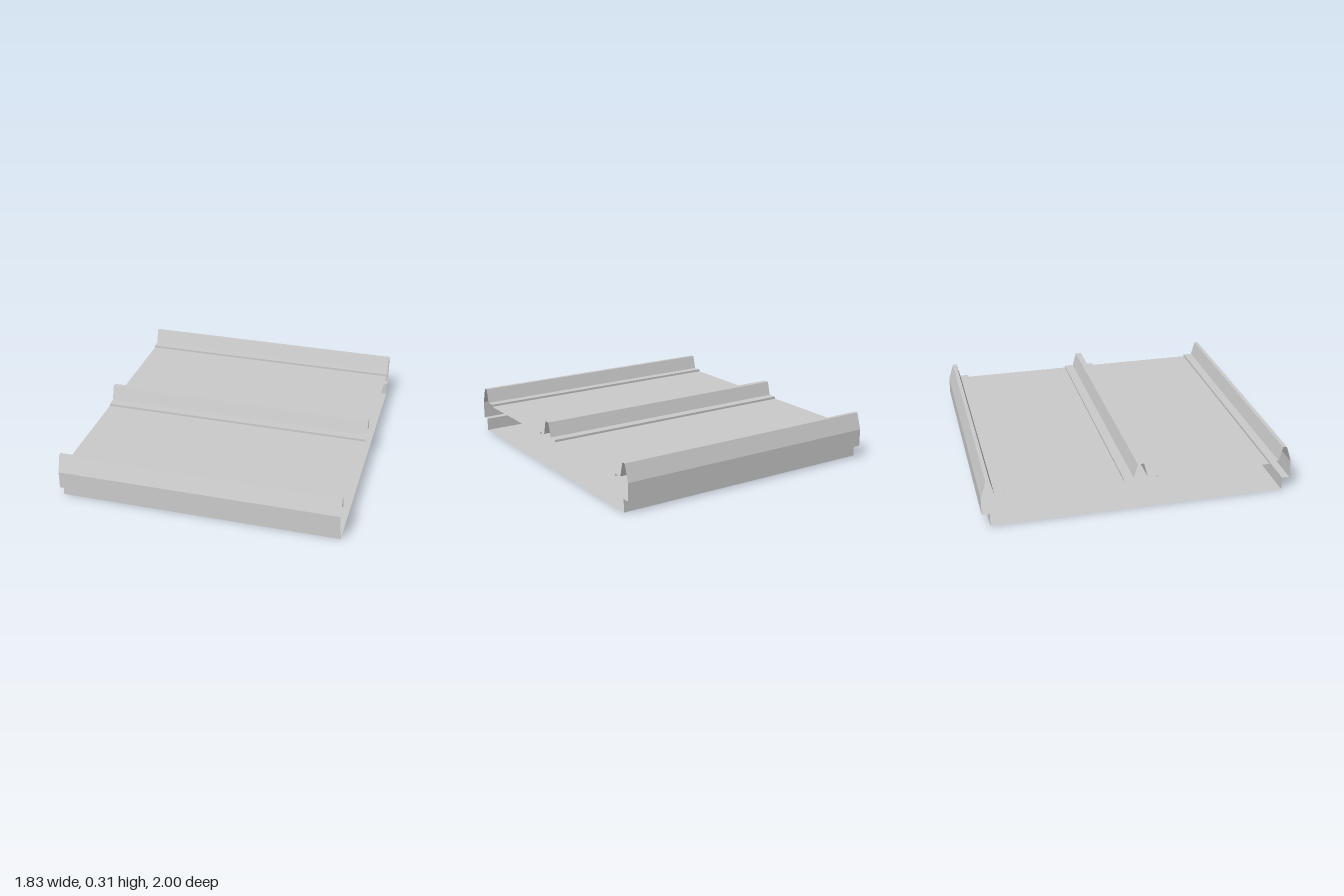
import * as THREE from 'three';

const HALF_LENGTH = 0.915;
const PAN = 0.2, SHELF = 0.215, RIDGE = 0.31, LIP = 0.085;

const material = new THREE.MeshStandardMaterial({
  color: 0xcccccc, flatShading: true, side: THREE.DoubleSide,
});

// Folded sheet: a [z, y] profile swept straight along x, one quad per fold
function sheet(name, profile) {
  const positions = [];
  for (let i = 0; i < profile.length - 1; i++) {
    const [z0, y0] = profile[i], [z1, y1] = profile[i + 1];
    const a = [-HALF_LENGTH, y0, z0], b = [HALF_LENGTH, y0, z0];
    const c = [HALF_LENGTH, y1, z1], d = [-HALF_LENGTH, y1, z1];
    positions.push(...a, ...b, ...c, ...a, ...c, ...d);
  }
  const geometry = new THREE.BufferGeometry();
  geometry.setAttribute('position', new THREE.Float32BufferAttribute(positions, 3));
  geometry.computeVertexNormals();
  const mesh = new THREE.Mesh(geometry, material);
  mesh.name = name;
  return mesh;
}

// The same profile on the other side, reversed so that it still faces outward
const mirror = (profile) => profile.map(([z, y]) => [-z, y]).reverse();

export function createModel() {
  const group = new THREE.Group();
  group.name = 'ribbedPanel';

  // Edge: lower wall, overhanging lip, outer leg, ridge and stepped foot
  const edge = [
    [0.95, 0], [0.95, LIP], [1, LIP], [1, PAN],
    [0.965, RIDGE], [0.94, RIDGE], [0.915, SHELF],
    [0.855, SHELF], [0.855, PAN],
  ];
  // Flat pan between the edge rib and the centre rib
  const pan = [[0.855, PAN], [0.108, PAN]];
  // Half of the centre rib, from its stepped foot to the crown
  const halfRib = [
    [0.108, PAN], [0.108, SHELF], [0.045, SHELF], [0.02, RIDGE],
  ];
  // Half of the flat underside, joined at the centre line
  const base = [[0, 0], [0.95, 0]];

  group.add(
    sheet('frontEdgeRib', edge),
    sheet('backEdgeRib', mirror(edge)),
    sheet('frontPan', pan),
    sheet('backPan', mirror(pan)),
    sheet('centreRib', [...halfRib, ...mirror(halfRib)]),
    sheet('frontBase', base),
    sheet('backBase', mirror(base)),
  );
  return group;
}
